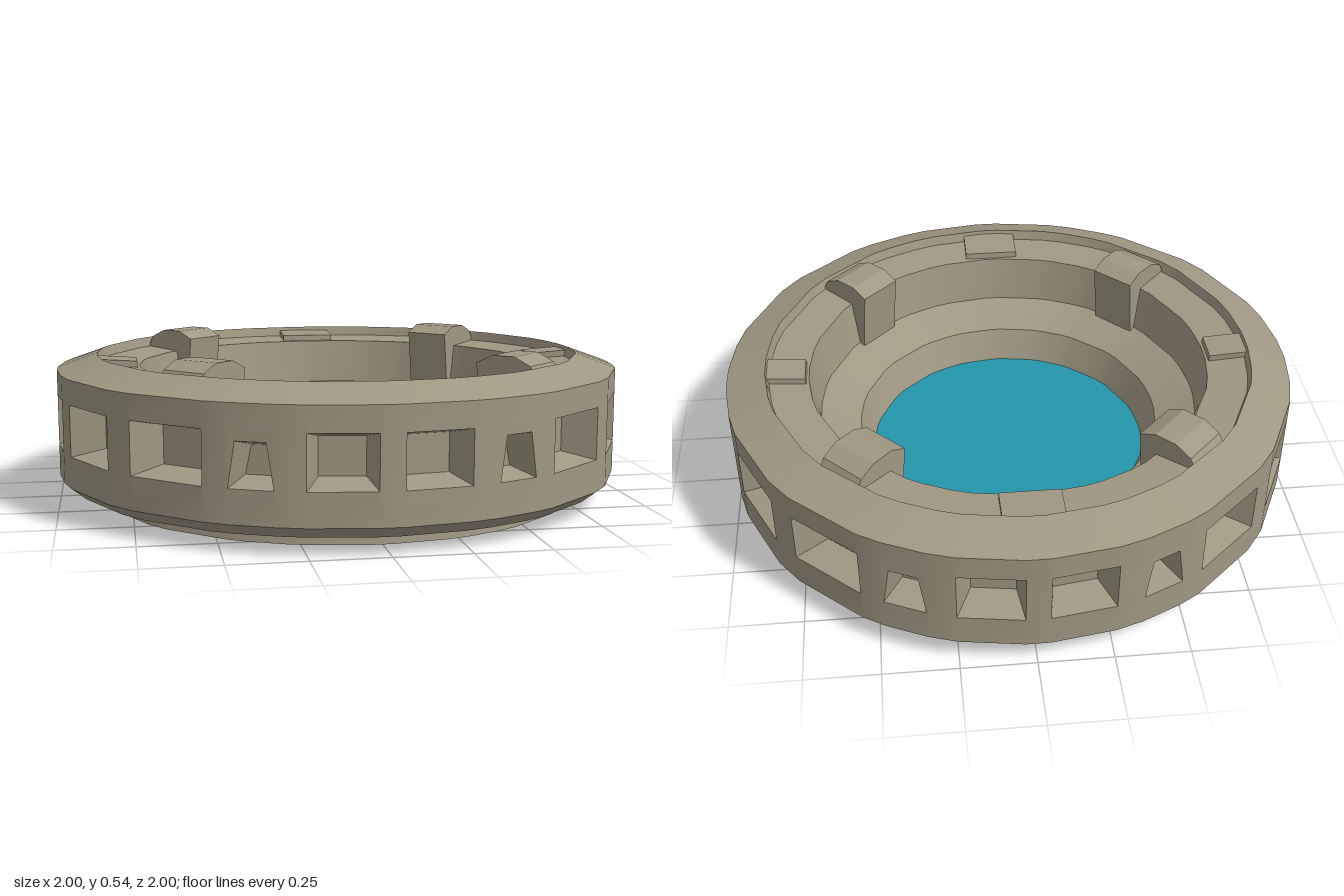
import * as THREE from 'three';
import { toCreasedNormals } from 'three/addons/utils/BufferGeometryUtils.js';

const rad = THREE.MathUtils.degToRad;

// Point on a circle; angle in degrees from the front (+z) towards +x
const polar = (a, r, y) => new THREE.Vector3(r * Math.sin(rad(a)), y, r * Math.cos(rad(a)));

// Window recesses of one quadrant: [start, end, top inset, top y, depth scale, taper]
const quadrant = [
  [2.3, 14.7, 0, 0.375, 0.89, 0.12],
  [20.3, 28.6, 0.16, 0.345, 0.9, 0.12],
  [33.5, 49.5, 0, 0.375, 0.89, 0.12],
  [56, 72, 0, 0.375, 0.89, 0.12],
  [78, 86.8, 0, 0.375, 0.9, 0.06],
];

function allWindows() {
  const list = [];
  for (const [a, b, ...rest] of quadrant) {
    list.push([a, b, ...rest], [180 - b, 180 - a, ...rest],
      [180 + a, 180 + b, ...rest], [360 - b, 360 - a, ...rest]);
  }
  // Slightly sunken posts inside the paired side windows
  for (const a of [90, 270]) list.push([a - 3.2, a + 3.2, 0, 0.375, 0.982, 0]);
  return list.sort((p, q) => p[0] - q[0]);
}

// Gathers quads and turns them into a geometry with creased normals
function quadBuilder() {
  const pos = [];
  return {
    quad(a, b, c, d) {
      for (const p of [a, b, c, a, c, d]) pos.push(p.x, p.y, p.z);
    },
    build() {
      const g = new THREE.BufferGeometry();
      g.setAttribute('position', new THREE.Float32BufferAttribute(pos, 3));
      return toCreasedNormals(g, 0.45);
    },
  };
}

// Revolves a profile of [radius, y] over the given angles
function revolve(profile, angles) {
  const q = quadBuilder();
  for (let i = 0; i < angles.length - 1; i++) {
    const a = angles[i], b = angles[i + 1];
    for (let k = 0; k < profile.length - 1; k++) {
      const [r0, y0] = profile[k], [r1, y1] = profile[k + 1];
      q.quad(polar(a, r0, y0), polar(b, r0, y0), polar(b, r1, y1), polar(a, r1, y1));
    }
  }
  return q.build();
}

// Outer wall with tapered recesses
function windowWall(angles, windows) {
  const q = quadBuilder();
  const low = 0.09, high = 0.46, sill = 0.2;
  for (let i = 0; i < angles.length - 1; i++) {
    const a = angles[i], b = angles[i + 1];
    const at = (t, y, s = 1) => {
      const p = polar(a, s, y).lerp(polar(b, s, y), t);
      return p;
    };
    const panel = (y0, y1) => q.quad(at(0, y0), at(1, y0), at(1, y1), at(0, y1));
    const win = windows.find((w) => w[0] === a);
    if (!win) { panel(low, high); continue; }
    const [, , inset, top, depth, m] = win;
    panel(low, sill);
    panel(top, high);
    // Slanted jambs
    if (inset > 0) {
      q.quad(at(0, sill), at(inset, top), at(0, top), at(0, top));
      q.quad(at(1, sill), at(1, top), at(1 - inset, top), at(1 - inset, top));
    }
    const dy = m > 0 ? 0.025 : 0;
    const outer = [at(0, sill), at(1, sill), at(1 - inset, top), at(inset, top)];
    const inner = [at(m, sill + dy, depth), at(1 - m, sill + dy, depth),
      at(1 - m - inset, top - dy, depth), at(m + inset, top - dy, depth)];
    q.quad(...inner);
    for (let k = 0; k < 4; k++) {
      const n = (k + 1) % 4;
      q.quad(outer[k], outer[n], inner[n], inner[k]);
    }
  }
  return q.build();
}

// Block with a radial side profile, pointing along +x before it is turned
function radialBlock(profile, width) {
  const shape = new THREE.Shape(profile.map(([r, y]) => new THREE.Vector2(r, y)));
  const g = new THREE.ExtrudeGeometry(shape, { depth: width, bevelEnabled: false });
  return g.translate(0, 0, -width / 2);
}

export function createModel() {
  const stone = new THREE.MeshStandardMaterial({ color: 0xa09883 });
  stone.name = 'stone';
  const waterBlue = new THREE.MeshStandardMaterial({ color: 0x2395ab });
  waterBlue.name = 'water blue';

  const model = new THREE.Group();
  model.name = 'roundPool';
  const add = (name, geometry, material, turn = 0) => {
    const mesh = new THREE.Mesh(geometry, material);
    mesh.name = name;
    mesh.rotation.y = rad(turn);
    model.add(mesh);
  };

  const windows = allWindows();
  const angles = windows.flatMap((w) => [w[0], w[1]]);
  const ring = [...new Set(angles)];
  ring.push(ring[0] + 360);

  // Foot and rounded underside
  add('base', revolve([[0, 0], [0.85, 0], [0.845, 0.035], [0.95, 0.05], [1, 0.09]], ring), stone);
  add('outerWall', windowWall(ring, windows), stone);

  // Bevelled rim, inner ledge, inner wall and sloping basin
  add('rimAndBasin', revolve([[1, 0.46], [0.86, 0.51], [0.85, 0.475], [0.71, 0.465],
    [0.68, 0.3], [0.54, 0.24], [0.495, 0.12]], ring), stone);

  const water = new THREE.CircleGeometry(0.5, 40).rotateX(-Math.PI / 2).translate(0, 0.125, 0);
  add('water', water, waterBlue);

  // Tall buttresses on the diagonals, low blocks between them
  const buttress = radialBlock([[0.655, 0.28], [0.8, 0.28], [0.85, 0.48], [0.83, 0.515],
    [0.77, 0.543], [0.69, 0.543], [0.63, 0.515]], 0.17);
  const lowProfile = [[0.715, 0.44], [0.855, 0.44], [0.855, 0.497], [0.72, 0.488]];
  for (let i = 0; i < 4; i++) {
    add('buttress', buttress, stone, 45 + i * 90);
    add('ledgeBlock', radialBlock(lowProfile, i % 2 ? 0.2 : 0.12), stone, i * 90);
  }
  return model;
}
